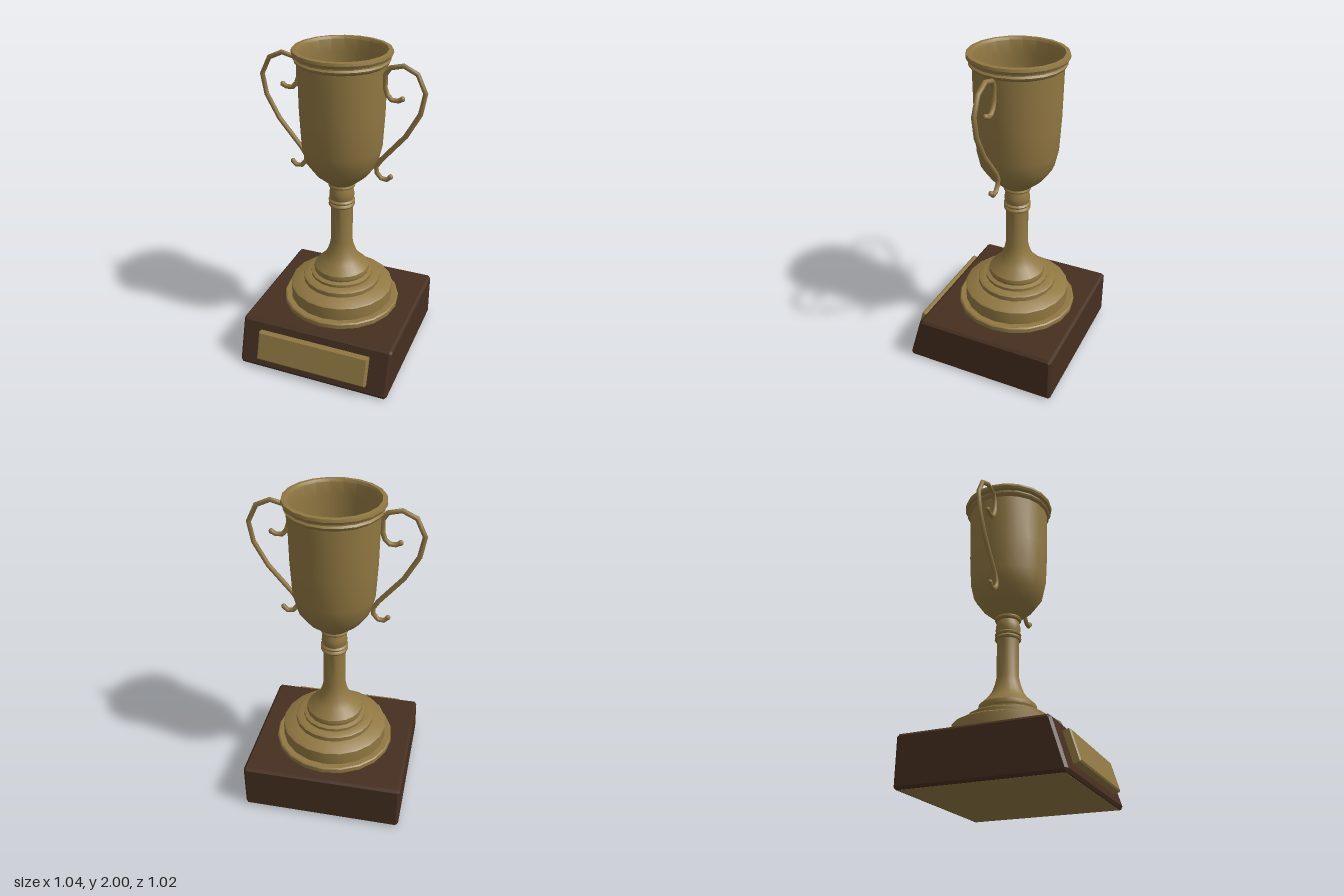
import * as THREE from 'three';
import { toCreasedNormals } from 'three/addons/utils/BufferGeometryUtils.js';

const gold = new THREE.MeshStandardMaterial({ color: 0x917842 });
const wood = new THREE.MeshStandardMaterial({ color: 0x462f20 });

const vec2 = (list) => list.map(([x, y]) => new THREE.Vector2(x, y));

function addMesh(parent, name, geometry, material) {
  const mesh = new THREE.Mesh(geometry, material);
  mesh.name = name;
  parent.add(mesh);
  return mesh;
}

// Outline extruded to a total depth, centred, with one chamfer inside the outline
function chamferedSlab(outline, depth, chamfer) {
  const geometry = new THREE.ExtrudeGeometry(new THREE.Shape(vec2(outline)), {
    depth: depth - 2 * chamfer,
    bevelEnabled: true,
    bevelSegments: 1,
    bevelSize: chamfer,
    bevelThickness: chamfer,
    bevelOffset: -chamfer,
  });
  return geometry.translate(0, 0, chamfer - depth / 2);
}

// Tube whose rings sit exactly on the given points
function facetedTube(points, radius) {
  const path = new THREE.CatmullRomCurve3(points);
  path.getPointAt = (u, target) => path.getPoint(u, target);
  path.getTangentAt = (u, target) => path.getTangent(u, target);
  return new THREE.TubeGeometry(path, points.length - 1, radius, 8, false);
}

function createHandle(side) {
  const handle = new THREE.Group();
  handle.name = side > 0 ? 'leftHandle' : 'rightHandle';
  const points = [
    [0.37, 1.752], [0.345, 1.738], [0.308, 1.74], [0.282, 1.765], [0.267, 1.81],
    [0.267, 1.885], [0.293, 1.925], [0.37, 1.944], [0.453, 1.905], [0.503, 1.8],
    [0.48, 1.675], [0.4, 1.53], [0.257, 1.36], [0.227, 1.31], [0.232, 1.272],
    [0.26, 1.24], [0.295, 1.235], [0.318, 1.258],
  ].map(([x, y]) => new THREE.Vector3(side * x, y, -0.035));
  addMesh(handle, 'handleTube', facetedTube(points, 0.015), gold);
  // Rounded tips
  for (const tip of [points[0], points[points.length - 1]]) {
    addMesh(handle, 'handleTip', new THREE.SphereGeometry(0.0165, 8, 6), gold).position.copy(tip);
  }
  return handle;
}

export function createModel() {
  const trophy = new THREE.Group();
  trophy.name = 'trophy';

  // Wooden plinth with a sloping front, extruded across x
  const plinth = chamferedSlab([
    [0.485, 0.02], [0.475, 0], [-0.49, 0], [-0.505, 0.015],
    [-0.505, 0.295], [-0.49, 0.31], [0.385, 0.31], [0.403, 0.295],
  ].reverse(), 1, 0.015).rotateY(-Math.PI / 2);
  addMesh(trophy, 'plinth', plinth, wood);

  // Underside plate
  const plate = addMesh(trophy, 'undersidePlate', new THREE.BoxGeometry(0.96, 0.004, 0.95), gold);
  plate.position.set(0, 0.001, -0.008);

  // Plaque on the sloping front
  const w = 0.367, h = 0.094;
  const plaque = addMesh(trophy, 'plaque',
    chamferedSlab([[-w, -h], [w, -h], [w, h], [-w, h]], 0.07, 0.008), gold);
  plaque.position.set(0, 0.163, 0.453);
  plaque.rotation.x = -0.283;

  // Foot, stem and bowl turned in one profile: up the outside, down the inside
  const profile = vec2([
    // stepped foot
    [0, 0.305], [0.378, 0.305], [0.378, 0.338], [0.37, 0.345], [0.335, 0.345],
    [0.335, 0.43], [0.325, 0.438], [0.25, 0.46], [0.25, 0.488], [0.24, 0.495],
    [0.2, 0.5], [0.2, 0.518], [0.175, 0.527], [0.18, 0.54], [0.176, 0.565],
    // flared stem
    [0.125, 0.615], [0.098, 0.655], [0.08, 0.705], [0.07, 0.75], [0.07, 1],
    // collar
    [0.08, 1.003], [0.084, 1.012], [0.08, 1.022], [0.074, 1.027], [0.082, 1.033],
    [0.084, 1.042], [0.074, 1.052], [0.079, 1.075], [0.077, 1.1], [0.068, 1.132],
    [0.082, 1.138], [0.085, 1.148], [0.08, 1.158],
    // bowl
    [0.165, 1.23], [0.222, 1.31], [0.245, 1.41], [0.256, 1.62], [0.261, 1.92],
    // rim rings
    [0.275, 1.93], [0.28, 1.942], [0.27, 1.952], [0.27, 1.96], [0.288, 1.968],
    [0.294, 1.982], [0.29, 1.998], [0.265, 2], [0.255, 1.985],
    // inside
    [0.25, 1.9], [0.245, 1.62], [0.232, 1.42], [0.208, 1.32], [0.15, 1.24],
    [0.08, 1.195], [0, 1.18],
  ]);
  const cup = toCreasedNormals(new THREE.LatheGeometry(profile, 20), 0.6);
  addMesh(trophy, 'cup', cup, gold).position.z = -0.055;

  // Mirrored scroll handles
  for (const side of [1, -1]) trophy.add(createHandle(side));

  return trophy;
}
